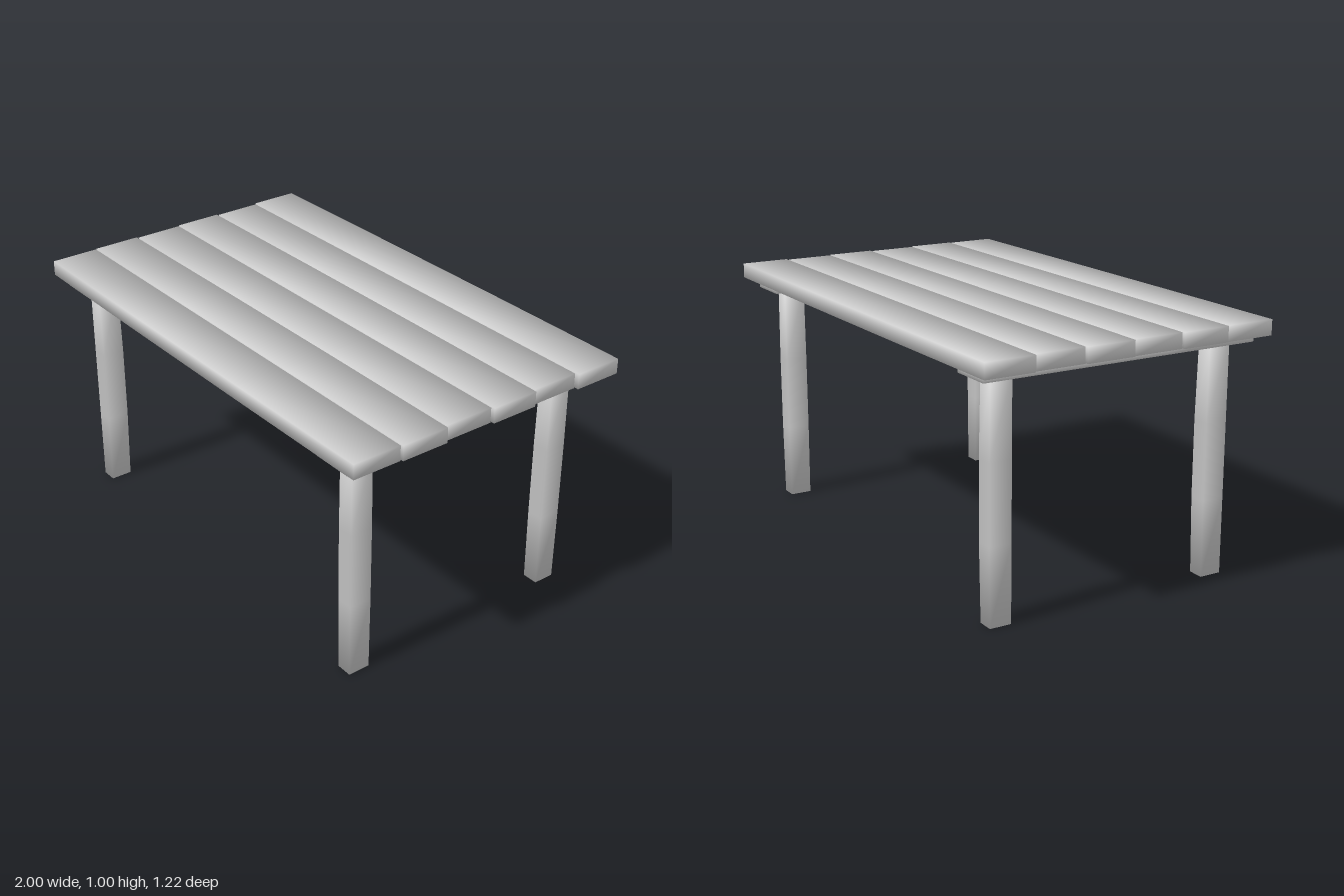
import * as THREE from 'three';

const material = new THREE.MeshStandardMaterial({ color: 0xcccccc });

// Hand-hewn timber: a box cut into 3 along one axis, its inner rings nudged by
// wobble, with normals shared across all edges so it shades softly.
function timber(name, min, max, axis, wobble = {}) {
  const lo = new THREE.Vector3(...min), hi = new THREE.Vector3(...max);
  const size = hi.clone().sub(lo), centre = lo.clone().add(hi).multiplyScalar(0.5);
  const segments = ['x', 'y', 'z'].map(a => (a === axis ? 3 : 1));
  const geometry = new THREE.BoxGeometry(size.x, size.y, size.z, ...segments);
  const { position, normal } = geometry.attributes;
  const p = new THREE.Vector3(), n = new THREE.Vector3();
  for (let i = 0; i < position.count; i++) {
    p.fromBufferAttribute(position, i);
    n.set(Math.sign(p.x), Math.sign(p.y), Math.sign(p.z));
    const inner = Math.abs(p[axis]) < size[axis] * 0.4;
    if (inner) {
      n[axis] = 0;
      for (const a in wobble) if (p[a] * wobble[a] > 0) p[a] += wobble[a];
    }
    n.normalize();
    position.setXYZ(i, p.x, p.y, p.z);
    normal.setXYZ(i, n.x, n.y, n.z);
  }
  const mesh = new THREE.Mesh(geometry, material);
  mesh.position.copy(centre);
  mesh.name = name;
  return mesh;
}

export function createModel() {
  const table = new THREE.Group();
  table.name = 'plankTable';

  // Tabletop planks, back to front: [x start, x end, z start, z end]
  const planks = [
    [-1, 1, -0.608, -0.409],
    [-0.99, 0.985, -0.403, -0.206],
    [-0.997, 0.997, -0.2, -0.004],
    [-0.99, 0.985, 0.002, 0.203],
    [-0.997, 0.997, 0.209, 0.404],
    [-0.993, 0.99, 0.41, 0.608],
  ];
  planks.forEach(([x0, x1, z0, z1], i) => {
    table.add(timber('plank' + (i + 1), [x0, 0.94, z0], [x1, 1, z1], 'x', { z: i % 2 ? 0.002 : -0.003 }));
  });

  // Cross battens under the top
  table.add(timber('rightBatten', [-0.93, 0.908, -0.57], [-0.762, 0.94, 0.578], 'z'));
  table.add(timber('leftBatten', [0.75, 0.908, -0.57], [0.92, 0.94, 0.578], 'z'));

  // Four slightly irregular legs
  for (const [side, x0, x1, bulge] of [['right', -0.876, -0.812, 0.006], ['left', 0.796, 0.861, -0.004]]) {
    for (const [end, z0, z1] of [['Front', 0.422, 0.511], ['Back', -0.511, -0.424]]) {
      table.add(timber(side + end + 'Leg', [x0, 0, z0], [x1, 0.91, z1], 'y', { x: bulge, z: -0.003 }));
    }
  }
  return table;
}
